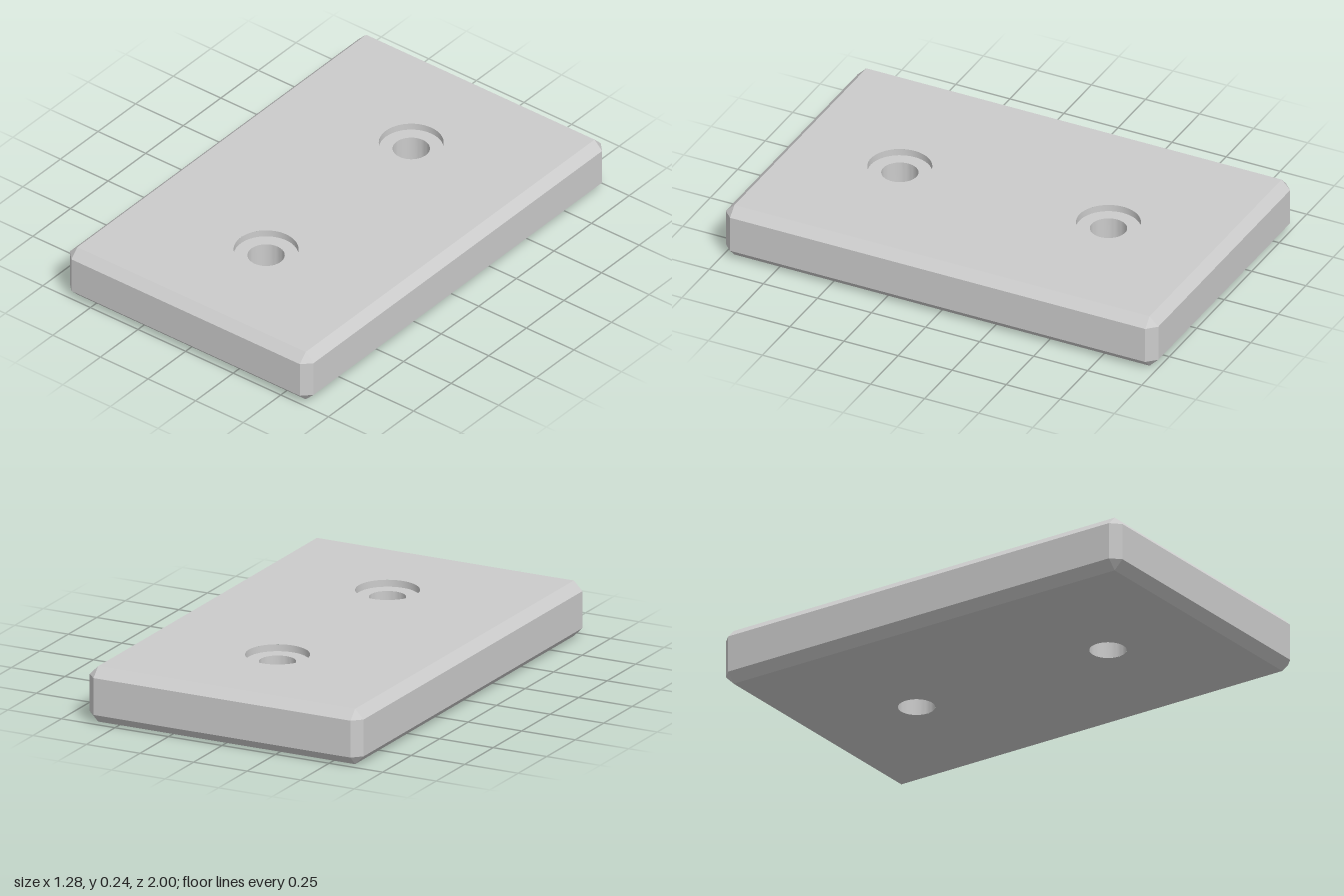
import * as THREE from 'three';
import { toCreasedNormals } from 'three/addons/utils/BufferGeometryUtils.js';

const H = 0.24, C = 0.04;          // plate height, chamfer
const W = 0.6, D = 0.96;           // half size of the flat faces
const BORE = 0.134, HOLE = 0.077, DEPTH = 0.03, SEG = 48;
const HOLES = [[0.02, -0.475], [0.02, 0.49]]; // x, z

// Eight-point outline; c widens it from the sharp rectangle
function ring(y, c) {
  const w = W + c, d = D + c;
  return [[w, D], [W, d], [-W, d], [-w, D], [-w, -D], [-W, -d], [W, -d], [w, -D]]
    .map(([x, z]) => new THREE.Vector3(x, y, -z));
}

// Chamfered walls between stacked outlines
function wallGeometry() {
  const rings = [ring(0, 0), ring(C, C), ring(H - C, C), ring(H, 0)];
  const pts = [];
  const tri = (a, b, c) => {
    if (!a.equals(b) && !b.equals(c) && !a.equals(c)) pts.push(a, b, c);
  };
  for (let i = 0; i < 3; i++) {
    for (let j = 0; j < 8; j++) {
      const k = (j + 1) % 8, lo = rings[i], hi = rings[i + 1];
      tri(lo[j], lo[k], hi[k]);
      tri(lo[j], hi[k], hi[j]);
    }
  }
  const g = new THREE.BufferGeometry().setFromPoints(pts);
  g.computeVertexNormals();
  return g;
}

// Flat rectangle pierced by the holes; dir +1 faces up, -1 faces down
function faceGeometry(radius, dir) {
  const s = new THREE.Shape();
  s.moveTo(-W, -D).lineTo(W, -D).lineTo(W, D).lineTo(-W, D).closePath();
  for (const [x, z] of HOLES) {
    s.holes.push(new THREE.Path().absarc(x, -z * dir, radius, 0, Math.PI * 2, true));
  }
  return new THREE.ShapeGeometry(s, SEG).rotateX(-dir * Math.PI / 2);
}

export function createModel() {
  const model = new THREE.Group();
  model.name = 'plate';
  const smooth = new THREE.MeshStandardMaterial({ color: 0xcccccc });
  const flat = new THREE.MeshStandardMaterial({ color: 0xcccccc, flatShading: true });
  const add = (name, geometry, material) => {
    const mesh = new THREE.Mesh(geometry, material);
    mesh.name = name;
    model.add(mesh);
    return mesh;
  };

  add('chamferedSides', wallGeometry(), flat);
  add('topFace', faceGeometry(BORE, 1), flat).position.y = H;
  add('bottomFace', faceGeometry(HOLE, -1), flat);

  // Counterbored screw holes, profile runs downward so faces point inward
  const profile = [[BORE, H], [BORE, H - DEPTH], [HOLE, H - DEPTH], [HOLE, 0]]
    .map(([x, y]) => new THREE.Vector2(x, y));
  const hole = toCreasedNormals(new THREE.LatheGeometry(profile, SEG), 0.6);
  HOLES.forEach(([x, z], i) => {
    add(i ? 'frontScrewHole' : 'backScrewHole', hole, smooth).position.set(x, 0, z);
  });
  return model;
}
